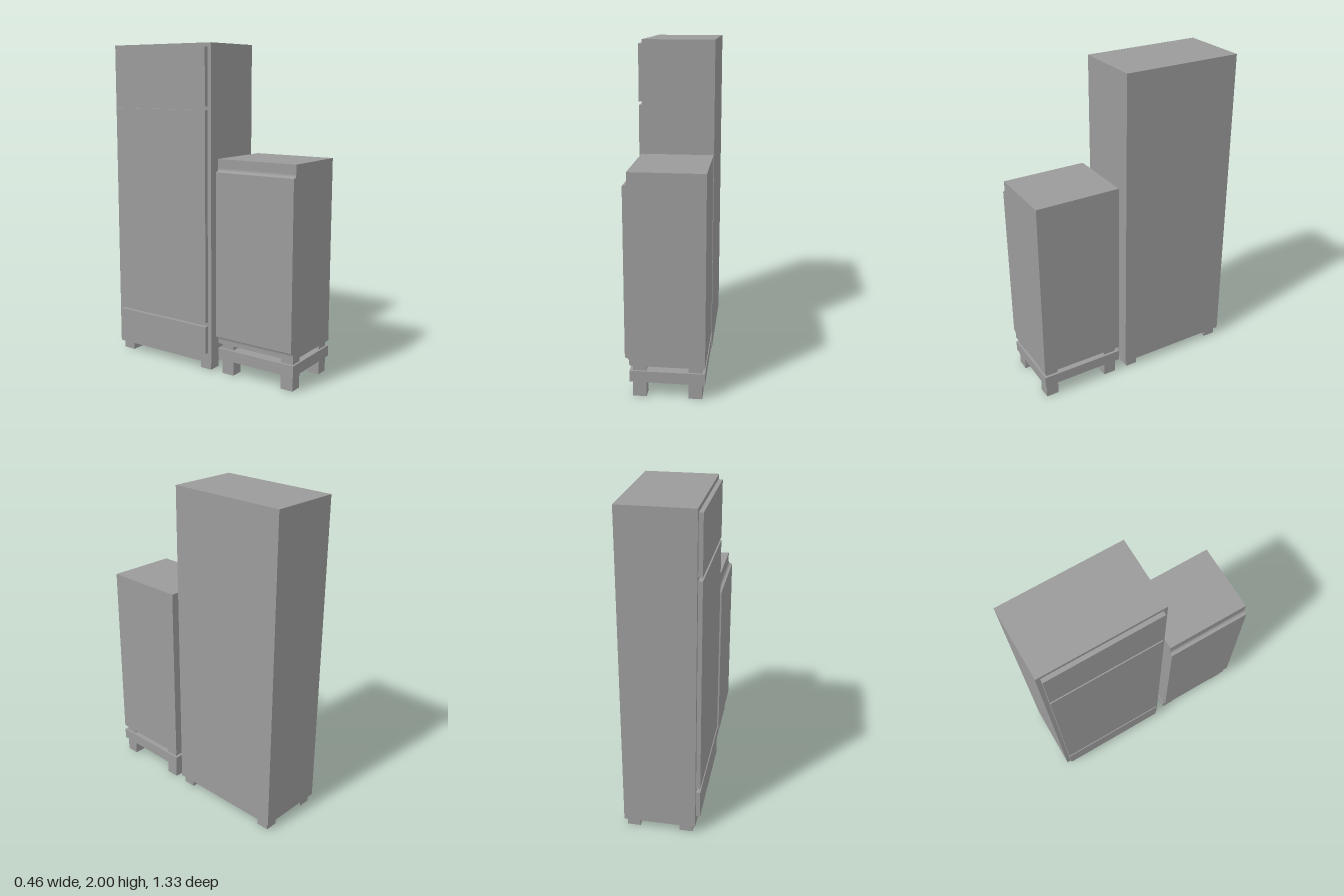
import * as THREE from 'three';

const material = new THREE.MeshStandardMaterial({ color: 0x9b9b9b, flatShading: true });

// Box given by its minimum and maximum on each axis
function slab(name, [x0, x1], [y0, y1], [z0, z1]) {
  const mesh = new THREE.Mesh(new THREE.BoxGeometry(x1 - x0, y1 - y0, z1 - z0), material);
  mesh.position.set((x0 + x1) / 2, (y0 + y1) / 2, (z0 + z1) / 2);
  mesh.name = name;
  return mesh;
}

// Four square blocks, one near each corner
function corners(name, y, zPairs) {
  const group = new THREE.Group();
  group.name = name + 's';
  for (const x of [[-0.187, -0.108], [0.134, 0.214]])
    for (const z of zPairs) group.add(slab(name, x, y, z));
  return group;
}

export function createModel() {
  const model = new THREE.Group();
  model.name = 'cabinets';

  // Tall cabinet with two doors and a bottom drawer
  const tall = new THREE.Group();
  tall.name = 'tallCabinet';
  tall.add(slab('tallBody', [-0.205, 0.23], [0.05, 2], [-0.665, 0.086]));
  const fronts = { upperDoor: [1.632, 1.975], mainDoor: [0.31, 1.61], drawerFront: [0.112, 0.285] };
  for (const [name, y] of Object.entries(fronts))
    tall.add(slab(name, [-0.23, -0.205], y, [-0.64, 0.06]));
  tall.add(corners('tallFoot', [0, 0.05], [[-0.647, -0.567], [-0.007, 0.07]]));
  model.add(tall);

  // Low cabinet raised on a plinth
  const low = new THREE.Group();
  low.name = 'lowCabinet';
  const depth = [0.138, 0.665];
  low.add(slab('lowBody', [-0.205, 0.23], [0.194, 1.327], depth));
  low.add(slab('plinth', [-0.205, 0.23], [0.094, 0.162], depth));
  const feetZ = [[0.158, 0.238], [0.573, 0.653]];
  low.add(corners('spacer', [0.162, 0.194], feetZ));
  low.add(corners('lowFoot', [0, 0.094], feetZ));

  // Full-width door blending into the body with a cove above and below
  const profile = new THREE.Shape();
  profile.moveTo(-0.205, 0.215);
  profile.lineTo(-0.205, 1.275);
  profile.quadraticCurveTo(-0.205, 1.25, -0.23, 1.25);
  profile.lineTo(-0.23, 0.243);
  profile.quadraticCurveTo(-0.205, 0.243, -0.205, 0.215);
  const door = new THREE.Mesh(new THREE.ExtrudeGeometry(profile, {
    depth: depth[1] - depth[0], bevelEnabled: false, curveSegments: 8,
  }), material);
  door.position.z = depth[0];
  door.name = 'lowDoor';
  low.add(door);
  model.add(low);

  return model;
}
